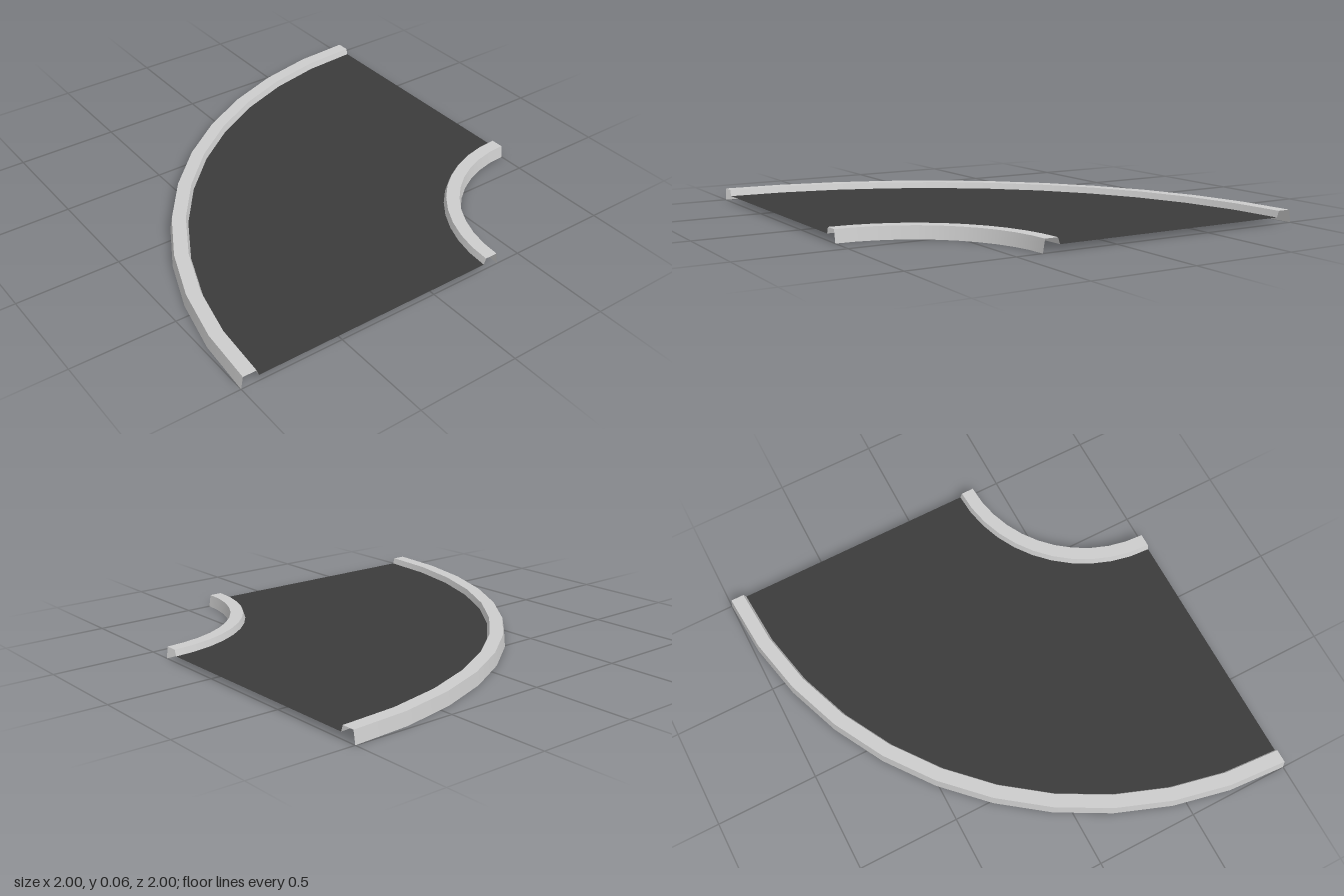
import * as THREE from 'three';
import { mergeGeometries } from 'three/addons/utils/BufferGeometryUtils.js';

const SEGMENTS = 11;

// Sweep a [radius, height] profile through a quarter turn, with a crease at each profile corner
function sweep(profile) {
  const strips = [];
  for (let i = 0; i < profile.length - 1; i++) {
    const pair = [profile[i], profile[i + 1]].map(([r, y]) => new THREE.Vector2(r, y));
    strips.push(new THREE.LatheGeometry(pair, SEGMENTS, Math.PI, Math.PI / 2));
  }
  return mergeGeometries(strips);
}

export function createModel() {
  const group = new THREE.Group();
  group.name = 'curvedRoad';

  const curbMaterial = new THREE.MeshStandardMaterial({ color: 0xcccccc, side: THREE.DoubleSide });
  const roadMaterial = new THREE.MeshStandardMaterial({ color: 0x3b3b3b, side: THREE.DoubleSide });

  // The bend turns about the corner at x = 1, z = 1
  const add = (name, profile, material) => {
    const mesh = new THREE.Mesh(sweep(profile), material);
    mesh.name = name;
    mesh.position.set(1, 0, 1);
    group.add(mesh);
  };

  // Hollow curbs with slightly sloped sides, open underneath and at the ends
  add('outerCurb', [[2, 0], [1.99, 0.06], [1.925, 0.06], [1.915, 0.03]], curbMaterial);
  add('innerCurb', [[0.71, 0.03], [0.7, 0.06], [0.637, 0.06], [0.627, 0]], curbMaterial);

  // Thin road surface between the curbs
  add('roadSurface', [[1.915, 0.03], [0.71, 0.03]], roadMaterial);

  return group;
}
